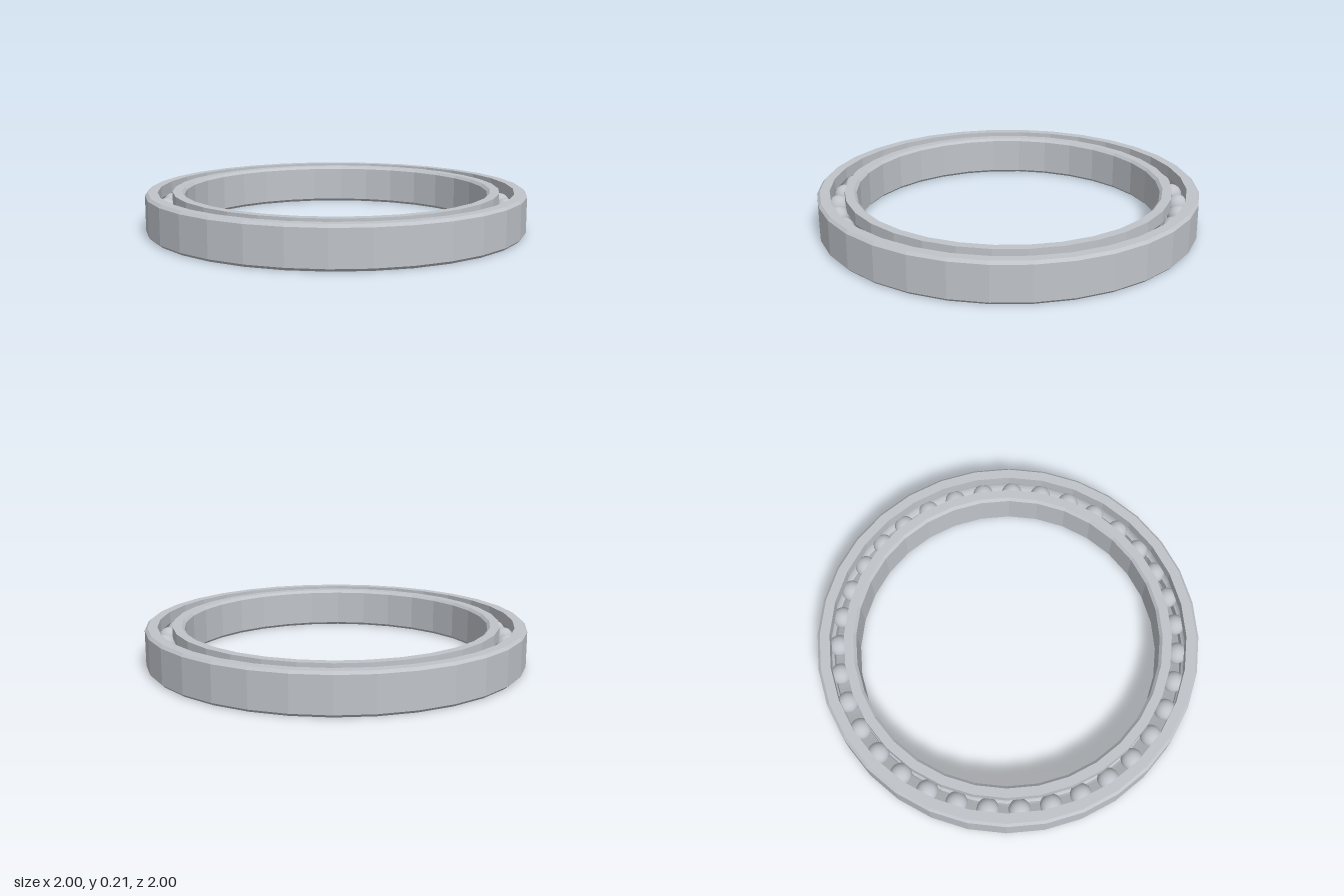
import * as THREE from 'three';

const HEIGHT = 0.212;
const CHAMFER = 0.014;
const PITCH = 0.897; // radius of the ball circle
const BALL_RADIUS = 0.056;
const BALLS = 35;
const SIDES = 32;

// Rounded raceway cut into the wall at radius `wall`, listed from y start to y end.
function raceway(wall, downward) {
  const r = BALL_RADIUS + 0.002;
  const side = Math.sign(wall - PITCH);
  const limit = Math.acos(Math.abs(wall - PITCH) / r);
  const points = [];
  for (let i = 0; i <= 8; i++) {
    const a = limit * (i / 4 - 1) * (downward ? -1 : 1);
    points.push([PITCH + side * r * Math.cos(a), HEIGHT / 2 + r * Math.sin(a)]);
  }
  return points;
}

// Faceted ring from a closed profile of [radius, y] points.
function ring(name, profile, material) {
  const points = [...profile, profile[0]].map(([x, y]) => new THREE.Vector2(x, y));
  const geometry = new THREE.LatheGeometry(points, SIDES).toNonIndexed();
  geometry.computeVertexNormals();
  const mesh = new THREE.Mesh(geometry, material);
  mesh.name = name;
  return mesh;
}

export function createModel() {
  const steel = new THREE.MeshStandardMaterial({ color: 0xc0c4ca });
  steel.name = 'steel';
  const model = new THREE.Group();
  model.name = 'ballBearing';

  // Outer ring: chamfered outside, raceway on its inner wall
  const outerWall = 0.935;
  model.add(ring('outerRing', [
    [1 - CHAMFER, 0], [1, CHAMFER], [1, HEIGHT - CHAMFER], [1 - CHAMFER, HEIGHT],
    [outerWall, HEIGHT], ...raceway(outerWall, true), [outerWall, 0],
  ], steel));

  // Inner ring: raceway on its outer wall, chamfered bore
  const innerWall = 0.859, bore = 0.797;
  model.add(ring('innerRing', [
    [innerWall, 0], ...raceway(innerWall, false), [innerWall, HEIGHT],
    [bore + CHAMFER, HEIGHT], [bore, HEIGHT - CHAMFER], [bore, CHAMFER], [bore + CHAMFER, 0],
  ], steel));

  // Balls spaced evenly between the rings
  const balls = new THREE.Group();
  balls.name = 'balls';
  const ballGeometry = new THREE.SphereGeometry(BALL_RADIUS, 24, 16);
  for (let i = 0; i < BALLS; i++) {
    const a = (i / BALLS) * Math.PI * 2;
    const ball = new THREE.Mesh(ballGeometry, steel);
    ball.name = 'ball';
    ball.position.set(PITCH * Math.cos(a), HEIGHT / 2, PITCH * Math.sin(a));
    balls.add(ball);
  }
  model.add(balls);

  return model;
}
